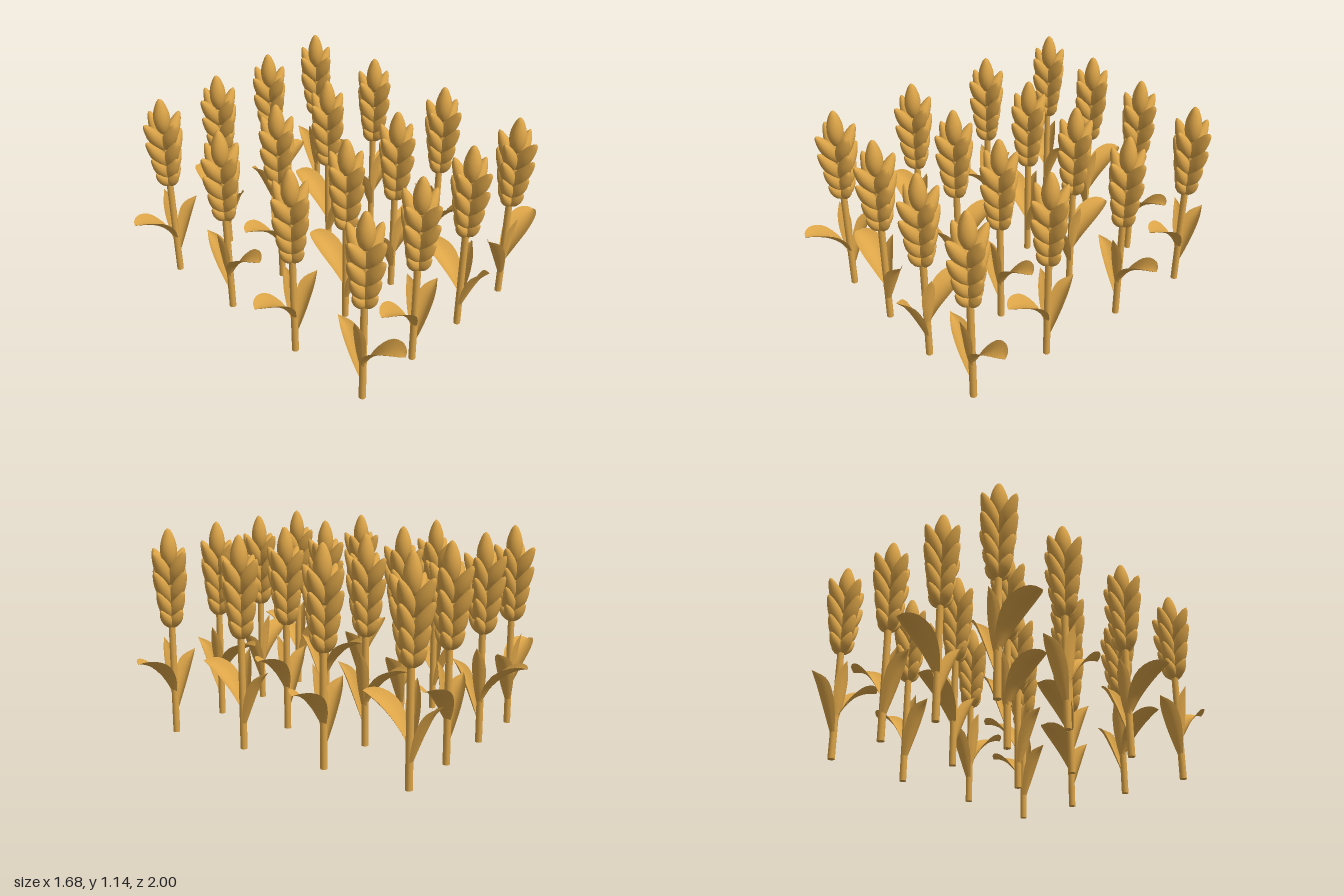
import * as THREE from 'three';

const wheat = new THREE.MeshStandardMaterial({ color: 0xdda548, side: THREE.DoubleSide });
wheat.name = 'wheat gold';

// Unit almond-shaped kernel: length 1 along y, radius 1 at the widest point
function kernelGeometry() {
  const outline = new THREE.SplineCurve([
    [0, 0], [0.5, 0.08], [0.88, 0.26], [1, 0.45], [0.88, 0.66], [0.52, 0.87], [0.26, 0.96], [0, 1],
  ].map(([r, y]) => new THREE.Vector2(r, y)));
  const points = outline.getPoints(14).map((p) => new THREE.Vector2(Math.max(p.x, 0), p.y));
  return new THREE.LatheGeometry(points, 14);
}

// Cupped blade along a centreline of [out, height, halfWidth], growing toward +x
function leafGeometry(sections, cup) {
  const centre = new THREE.CatmullRomCurve3(sections.map((s) => new THREE.Vector3(...s)));
  const rows = 14, cols = 6;
  const positions = [], indices = [];
  for (let i = 0; i <= rows; i++) {
    const p = centre.getPoint(i / rows);
    const t = centre.getTangent(i / rows);
    const n = Math.hypot(t.x, t.y) || 1;
    const w = Math.max(p.z, 0);
    for (let j = 0; j <= cols; j++) {
      const s = (j / cols) * 2 - 1;
      const lift = cup * w * s * s;
      positions.push(p.x - (t.y / n) * lift, p.y + (t.x / n) * lift, s * w);
      if (i < rows && j < cols) {
        const a = i * (cols + 1) + j, b = a + cols + 1;
        indices.push(a, a + 1, b, a + 1, b + 1, b);
      }
    }
  }
  const geometry = new THREE.BufferGeometry();
  geometry.setAttribute('position', new THREE.Float32BufferAttribute(positions, 3));
  geometry.setIndex(indices);
  geometry.computeVertexNormals();
  return geometry;
}

const geometries = {
  kernel: kernelGeometry(),
  stem: new THREE.CylinderGeometry(0.018, 0.019, 0.9, 12),
  large: leafGeometry([
    [0.012, 0.235, 0.02], [0.06, 0.315, 0.053], [0.135, 0.39, 0.075],
    [0.205, 0.43, 0.06], [0.245, 0.443, 0.03], [0.26, 0.445, 0],
  ], 0.45),
  low: leafGeometry([
    [0.01, 0.12, 0.012], [0.045, 0.21, 0.035], [0.085, 0.305, 0.05],
    [0.125, 0.385, 0.045], [0.172, 0.442, 0],
  ], 0.6),
  upright: leafGeometry([
    [0.012, 0.2, 0.012], [0.03, 0.3, 0.03], [0.042, 0.4, 0.04],
    [0.052, 0.47, 0.032], [0.065, 0.535, 0],
  ], 0.4),
};

function add(parent, name, geometry) {
  const mesh = new THREE.Mesh(geometry, wheat);
  mesh.name = name;
  parent.add(mesh);
  return mesh;
}

// Kernel whorls: [base height, length, radius, tilt in degrees]
const whorls = [
  [0.598, 0.13, 0.03, 37],
  [0.645, 0.185, 0.034, 31],
  [0.722, 0.225, 0.037, 31],
  [0.828, 0.225, 0.038, 31],
];

function createEar() {
  const ear = new THREE.Group();
  ear.name = 'ear';
  for (const [y, length, radius, tilt] of whorls) {
    for (let k = 0; k < 4; k++) {
      const side = new THREE.Group();
      side.name = 'kernelHolder';
      side.rotation.y = (k * Math.PI) / 2;
      const kernel = add(side, 'kernel', geometries.kernel);
      kernel.position.y = y;
      kernel.rotation.z = -THREE.MathUtils.degToRad(tilt);
      kernel.scale.set(radius, length, radius);
      ear.add(side);
    }
  }
  const tip = add(ear, 'tipKernel', geometries.kernel);
  tip.position.y = 0.92;
  tip.scale.set(0.045, 0.216, 0.045);
  return ear;
}

function createStalk() {
  const stalk = new THREE.Group();
  stalk.name = 'stalk';
  add(stalk, 'stem', geometries.stem).position.y = 0.45;
  add(stalk, 'largeLeaf', geometries.large);
  add(stalk, 'lowLeaf', geometries.low).rotation.y = Math.PI;
  add(stalk, 'uprightLeaf', geometries.upright).rotation.y = -Math.PI / 2;
  stalk.add(createEar());
  return stalk;
}

export function createModel() {
  const field = new THREE.Group();
  field.name = 'wheatField';
  // Quarter turns of each stalk, alternating by row
  const turns = [[2, 1, 0, 3], [3, 2, 1, 0]];
  const columns = [-0.58, -0.195, 0.19, 0.577];
  const rows = [-0.742, -0.258, 0.255, 0.74];
  rows.forEach((z, r) => columns.forEach((x, c) => {
    const stalk = createStalk();
    stalk.position.set(x, 0, z);
    stalk.rotation.y = (turns[r % 2][c] * Math.PI) / 2;
    field.add(stalk);
  }));
  return field;
}
